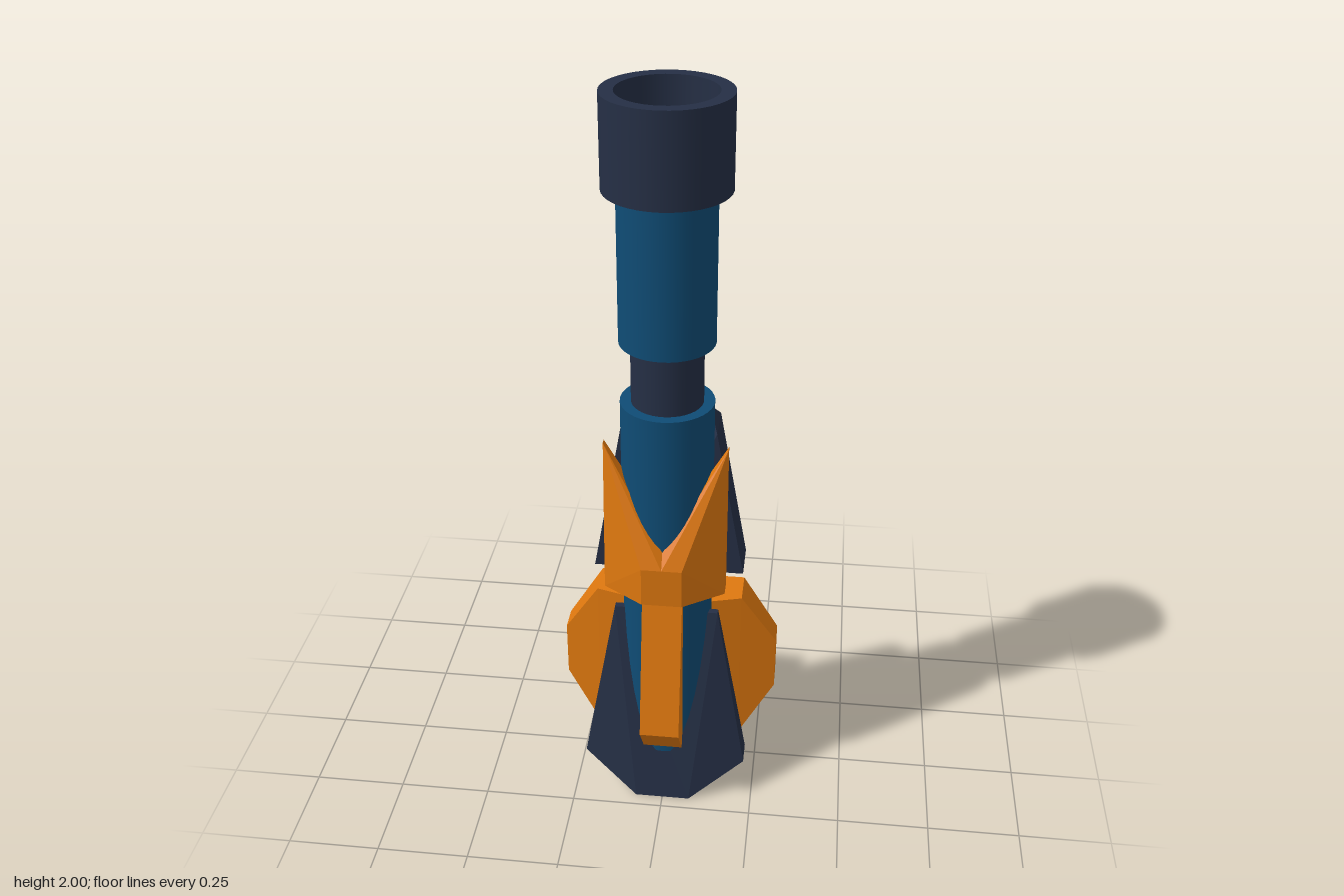
import * as THREE from 'three';
import { ConvexGeometry } from 'three/addons/geometries/ConvexGeometry.js';

const AXIS_Z = 0.068;

export function createModel() {
  const model = new THREE.Group();
  model.name = 'bracketedTube';

  const material = (name, color) => {
    const m = new THREE.MeshStandardMaterial({ color });
    m.name = name;
    return m;
  };
  const orange = material('orange', 0xdf780f);
  const blue = material('blue', 0x0f4c75);
  const navy = material('navy', 0x252f45);

  const add = (name, geometry, mat) => {
    const mesh = new THREE.Mesh(geometry, mat);
    mesh.name = name;
    model.add(mesh);
    return mesh;
  };
  // Convex faceted block; side = 1 or -1 mirrors the points across x
  const block = (name, points, mat, side = 1) =>
    add(name, new ConvexGeometry(points.map(([x, y, z]) => new THREE.Vector3(x * side, y, z))), mat);
  const mirrored = (points) => points.flatMap(([x, y, z]) => [[x, y, z], [-x, y, z]]);
  const tube = (name, radius, bottom, top, mat) => {
    const mesh = add(name, new THREE.CylinderGeometry(radius, radius, top - bottom, 40), mat);
    mesh.position.set(0, (top + bottom) / 2, AXIS_Z);
  };

  // Main tube, narrow neck and upper tube
  tube('lowerTube', 0.12, 0.15, 1.215, blue);
  tube('neck', 0.092, 1.215, 1.38, navy);
  tube('upperTube', 0.121, 1.38, 1.772, blue);

  // Open collar at the top: each wall of the profile is its own lathe for sharp rims
  const rim = [[0.121, 1.77], [0.156, 1.77], [0.156, 2], [0.121, 2], [0.121, 1.77]];
  for (let i = 0; i < 4; i++) {
    const wall = [rim[i], rim[i + 1]].map(([r, y]) => new THREE.Vector2(r, y));
    add('collarWall', new THREE.LatheGeometry(wall, 40), navy).position.z = AXIS_Z;
  }

  // Front and rear brackets, each a mirrored pair meeting in a V notch
  const frontHalf = [
    [0, 0.68, 0.098], [0.16, 0.68, 0.098], [0.16, 0.68, 0.143], [0.053, 0.68, 0.215], [0, 0.68, 0.215],
    [0, 0.79, 0.215], [0.053, 0.79, 0.215], [0, 0.83, 0.19], [0, 0.83, 0.098],
    [0.16, 1.105, 0.098], [0.16, 1.105, 0.115],
  ];
  const rearHalf = [
    [0, 0.68, 0.047], [0.202, 0.68, 0.047], [0.202, 0.68, -0.067], [0, 0.68, -0.067],
    [0, 0.78, 0.047], [0, 0.78, -0.067],
    [0.125, 1.11, 0.047], [0.125, 1.11, -0.067], [0.1, 1.15, -0.03],
  ];
  for (const side of [1, -1]) {
    block('frontBracket', frontHalf, orange, side);
    block('rearBracket', rearHalf, navy, side);
  }

  // Keel running down the front
  block('keel', mirrored([
    [0.053, 0.7, 0.1], [0.053, 0.7, 0.195], [0.053, 0.285, 0.277], [0.053, 0.18, 0.2], [0.053, 0.18, 0.1],
  ]), orange);

  // Tapered shield at the foot
  block('footShield', mirrored([
    [0.075, 0, 0.213], [0.225, 0.105, 0.155], [0.14, 0.587, 0.108],
    [0.075, 0, 0.086], [0.225, 0.105, 0.086], [0.14, 0.587, 0.09],
  ]), navy);

  // Eight-sided rear plate with a bevelled front, and its square peg
  const plate = [];
  for (const s of [1, -1]) {
    const edge = 0.345 + s * 0.241, shoulder = 0.345 + s * 0.08;
    plate.push(
      [0.2, edge, -0.067], [0.298, shoulder, -0.067], [0.298, shoulder, 0.002],
      [0.2, edge, 0.032], [0.1, edge, 0.06],
    );
  }
  block('rearPlate', mirrored(plate), orange);
  add('peg', new THREE.BoxGeometry(0.152, 0.16, 0.217), orange).position.set(0, 0.345, -0.1685);

  return model;
}
